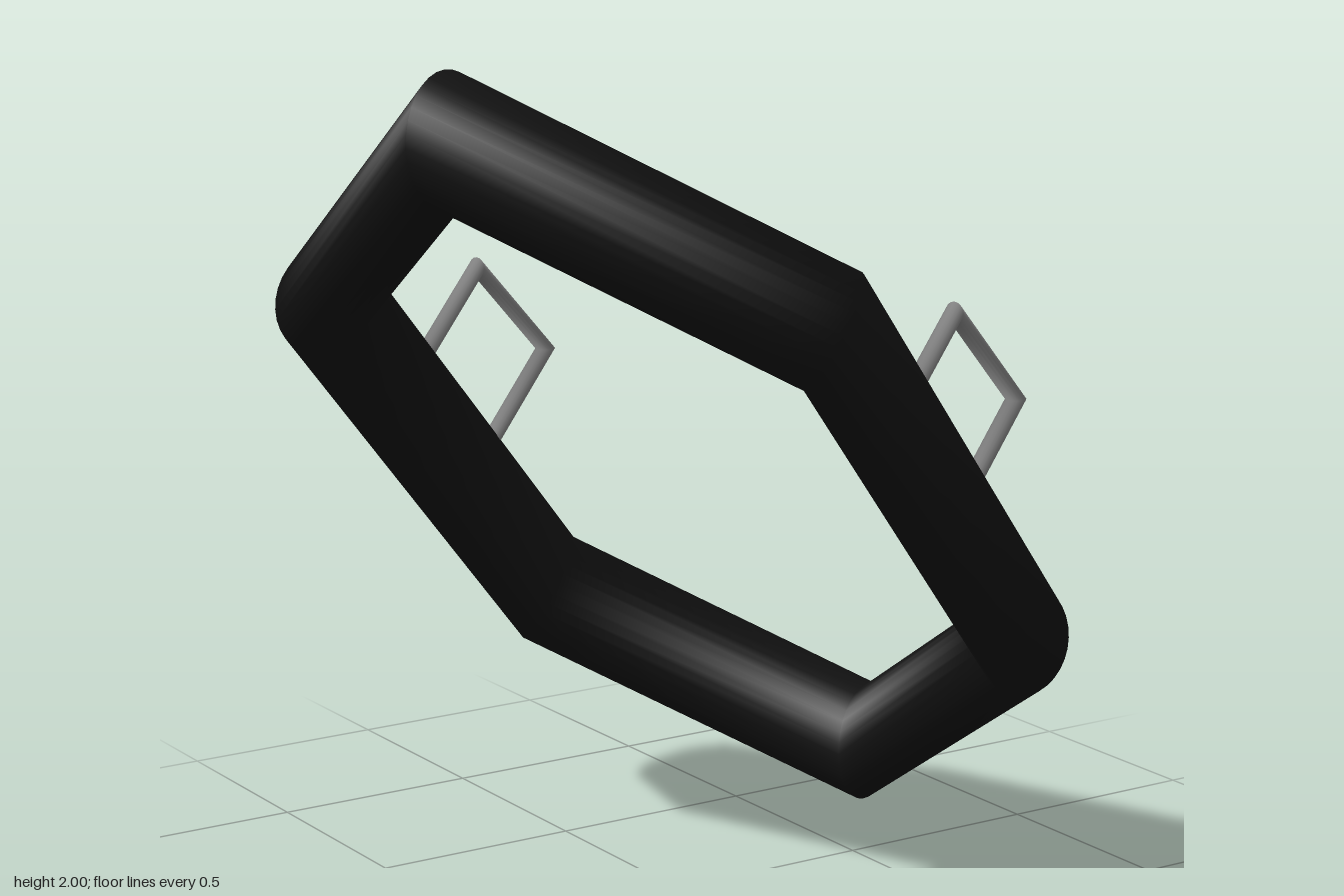
import * as THREE from 'three';

// Aim a mesh's local x and y along two directions (y is made square to x)
function orient(mesh, xDir, yDir) {
  const x = new THREE.Vector3(...xDir).normalize();
  const z = x.clone().cross(new THREE.Vector3(...yDir)).normalize();
  const y = z.clone().cross(x);
  mesh.quaternion.setFromRotationMatrix(new THREE.Matrix4().makeBasis(x, y, z));
}

export function createModel() {
  const model = new THREE.Group();
  const black = new THREE.MeshStandardMaterial({ color: 0x111111 });
  const grey = new THREE.MeshStandardMaterial({ color: 0x888888 });

  // Six-sided ring, narrowed across its width and tilted in space
  const ring = new THREE.Mesh(new THREE.TorusGeometry(1.196, 0.145, 32, 6), black);
  ring.name = 'hexagonalRing';
  ring.scale.y = 0.631;
  ring.position.y = 1;
  orient(ring, [-0.646, 0.715, 0.268], [0.428, 0.042, 0.902]);
  model.add(ring);

  // Square loops, partly sunk into the two long sides of the ring
  const loop = new THREE.TorusGeometry(0.233, 0.024, 16, 4).rotateZ(Math.PI / 4);
  const handles = [
    ['frontHandle', [0.354, 1.185, 0.557]],
    ['backHandle', [-0.145, 1.153, -0.645]],
  ];
  for (const [name, position] of handles) {
    const handle = new THREE.Mesh(loop, grey);
    handle.name = name;
    handle.position.set(...position);
    orient(handle, [0.686, -0.7, -0.2], [0.663, 0.725, -0.185]);
    model.add(handle);
  }
  return model;
}
